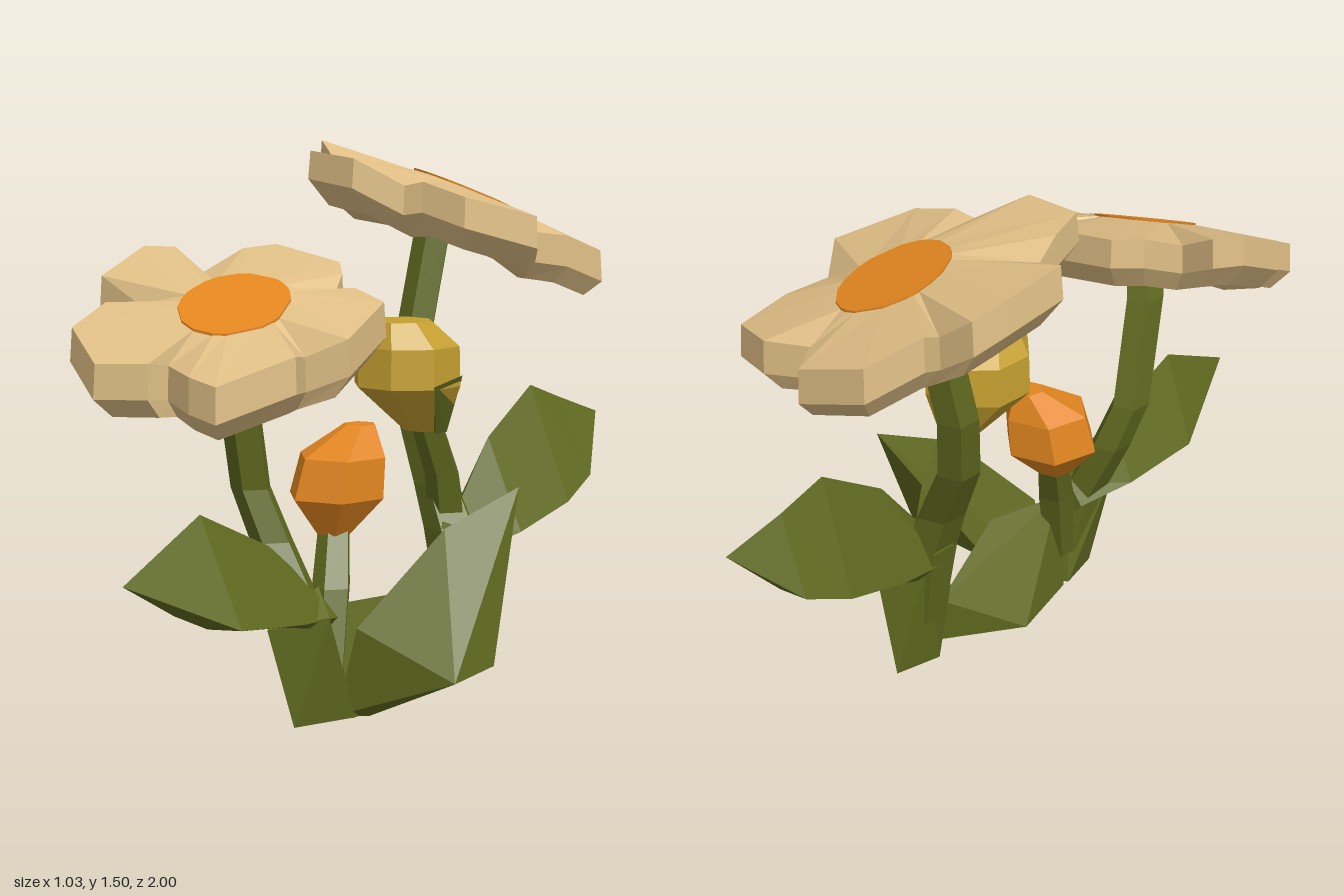
import * as THREE from 'three';
import { ConvexGeometry } from 'three/addons/geometries/ConvexGeometry.js';

const material = (name, color) => {
  const m = new THREE.MeshStandardMaterial({ color });
  m.name = name;
  return m;
};

// Faceted skin over rings of [x, y, z] points, closed at both ends.
function loft(rings) {
  const pos = [];
  const tri = (a, b, c) => pos.push(...a, ...b, ...c);
  const middle = (ring) => [0, 1, 2].map((k) => ring.reduce((s, p) => s + p[k], 0) / ring.length);
  const n = rings[0].length, first = rings[0], last = rings[rings.length - 1];
  const c0 = middle(first), c1 = middle(last);
  for (let i = 0; i < n; i++) {
    const j = (i + 1) % n;
    tri(c0, first[j], first[i]);
    tri(c1, last[i], last[j]);
    for (let r = 0; r < rings.length - 1; r++) {
      const a = rings[r], b = rings[r + 1];
      tri(a[i], a[j], b[j]);
      tri(a[i], b[j], b[i]);
    }
  }
  const g = new THREE.BufferGeometry();
  g.setAttribute('position', new THREE.Float32BufferAttribute(pos, 3));
  g.computeVertexNormals();
  return g;
}

// Upright limb or bud through [x, y, z, radius] stations.
function limb(stations, sides = 5, turn = 0) {
  return loft(stations.map(([x, y, z, r]) => Array.from({ length: sides }, (_, i) => {
    const a = (i / sides) * Math.PI * 2 + turn;
    return [x + r * Math.cos(a), y, z - r * Math.sin(a)];
  })));
}

// Thick leaf along z through [z, top, side, bottom, halfWidth] stations.
function leaf(stations, x = 0.12) {
  const rings = stations.map(([z, top, side, bottom, w]) =>
    [[x + w, side, z], [x - w * 0.2, top, z], [x - w, side, z], [x, bottom, z]]);
  if (stations[0][0] < 0) rings.reverse();
  return loft(rings);
}

const hull = (points) => new ConvexGeometry(points.map((p) => new THREE.Vector3(...p)));

export function createModel() {
  const green = material('leaf green', 0x616b20);
  const tan = material('petal tan', 0xdfbe85);
  const orange = material('orange', 0xe28620);
  const yellow = material('bud yellow', 0xc6a030);

  const group = new THREE.Group();
  const add = (name, geometry, mat, parent = group) => {
    const mesh = new THREE.Mesh(geometry, mat);
    mesh.name = name;
    parent.add(mesh);
  };

  // Five-petalled flower on a sloping plane; outline is [x, z, droop].
  function flower(name, [cx, cy, cz], slopeX, slopeZ, outline) {
    const g = new THREE.Group();
    g.name = name;
    group.add(g);
    const point = (x, z, h) => [x, cy + slopeX * (x - cx) + slopeZ * (z - cz) + h, z];
    const scaled = (f, h, droop) => outline.map(([x, z, d = 0]) =>
      point(cx + (x - cx) * f, cz + (z - cz) * f, h - d * droop));
    const hub = (r, h) => outline.map(([x, z]) => {
      const l = Math.hypot(x - cx, z - cz);
      return point(cx + ((x - cx) * r) / l, cz + ((z - cz) * r) / l, h);
    });
    add('petals', loft([hub(0.14, 0), scaled(0.985, 0, 1), scaled(1, -0.09, 0.9),
      scaled(0.87, -0.155, 0.7), hub(0.09, -0.16)]), tan, g);
    add('flowerCentre', loft([hub(0.144, 0.005), hub(0.144, -0.004)]), orange, g);
  }

  flower('frontFlower', [0.06, 1.12, 0.54], -0.21, -0.38, [
    [-0.19, 0.24, 0.05], [-0.14, 0.16, 0.06], [0.09, 0.16, 0.05], [0.15, 0.22, 0.04], [0.18, 0.29, 0.06],
    [0.24, 0.27, 0.03], [0.36, 0.3, 0.02], [0.42, 0.51], [0.32, 0.56, 0.05],
    [0.36, 0.64], [0.27, 0.83, 0.01], [0.17, 0.82, 0.02], [0.05, 0.77, 0.05],
    [0.04, 0.83, 0.02], [-0.09, 0.89, 0.03], [-0.27, 0.8, 0.03], [-0.27, 0.68, 0.02], [-0.23, 0.6, 0.05],
    [-0.38, 0.59, 0.02], [-0.38, 0.43, 0.01], [-0.33, 0.36, 0.03], [-0.21, 0.38, 0.06],
  ]);
  flower('backFlower', [-0.06, 1.365, -0.56], -0.25, 0.32, [
    [-0.3, -0.89], [-0.09, -0.91, 0.01], [-0.03, -0.82, 0.02], [0.01, -0.78, 0.05],
    [0.13, -0.83, 0.01], [0.29, -0.77, 0.02], [0.26, -0.64, 0.02], [0.23, -0.52, 0.05],
    [0.31, -0.42, 0.01], [0.2, -0.23, 0.04], [0.06, -0.22, 0.04], [0.0, -0.21, 0.07],
    [-0.12, -0.13, 0.05], [-0.31, -0.16, 0.07], [-0.34, -0.27, 0.06], [-0.36, -0.35, 0.08],
    [-0.52, -0.45, 0.01], [-0.49, -0.6], [-0.46, -0.69], [-0.35, -0.69, 0.05], [-0.37, -0.76],
  ]);

  // Stems
  add('frontStem', limb([
    [0.14, 0.1, 0.32, 0.05], [0.13, 0.27, 0.35, 0.07], [0.02, 0.48, 0.36, 0.06],
    [-0.025, 0.62, 0.39, 0.056], [-0.005, 0.93, 0.465, 0.056], [0.02, 1.03, 0.49, 0.055],
  ]), green);
  add('backStem', limb([
    [0.14, 0.15, -0.3, 0.06], [0.1, 0.42, -0.31, 0.08], [0.04, 0.54, -0.32, 0.068],
    [-0.08, 0.74, -0.37, 0.06], [-0.12, 0.93, -0.41, 0.058], [-0.1, 1.27, -0.48, 0.057],
  ]), green);
  add('orangeBudStem', limb([[0.14, 0.1, 0.27, 0.045], [0.1, 0.34, 0.21, 0.055], [0.05, 0.5, 0.14, 0.045]]), green);
  add('yellowBudStem', limb([[0.08, 0.42, -0.32, 0.06], [0.1, 0.58, -0.27, 0.052], [0.1, 0.75, -0.19, 0.048]]), green);

  // Buds, with a green sepal on one side of the yellow one
  add('orangeBud', limb([
    [0.05, 0.47, 0.15, 0.05], [0.045, 0.57, 0.13, 0.138], [0.055, 0.68, 0.115, 0.125], [0.07, 0.76, 0.06, 0.045],
  ], 6, 0.3), orange);
  add('yellowBud', limb([
    [0.1, 0.72, -0.18, 0.06], [0.08, 0.85, -0.13, 0.153], [0.08, 0.96, -0.13, 0.15], [0.08, 1.03, -0.1, 0.09],
  ], 8, Math.PI / 8), yellow);
  add('sepal', hull([
    [0.162, 0.715, -0.155], [0.162, 0.715, -0.205], [0.227, 0.86, -0.068], [0.227, 0.88, -0.19],
    [0.195, 0.86, -0.227], [0.1, 0.8, -0.15],
  ]), green);

  // Long leaves and the wedge-footed stalks that carry them
  add('frontLeaf', leaf([
    [0.28, 0.34, 0.28, 0.22, 0.06], [0.46, 0.49, 0.3, 0.275, 0.1],
    [0.71, 0.61, 0.335, 0.32, 0.118], [1, 0.48, 0.48, 0.48, 0],
  ]), green);
  add('backLeaf', leaf([
    [-0.31, 0.45, 0.36, 0.28, 0.07], [-0.48, 0.66, 0.395, 0.375, 0.1],
    [-0.69, 0.79, 0.455, 0.44, 0.118], [-0.83, 0.74, 0.515, 0.5, 0.1], [-1, 0.68, 0.68, 0.68, 0],
  ]), green);
  add('frontLeafStalk', hull([
    [0.14, 0, 0.41], [0.1, 0, 0.27], [0.2, 0, 0.23],
    [0.07, 0.28, 0.4], [0.22, 0.3, 0.36], [0.12, 0.275, 0.49], [0.13, 0.36, 0.3],
  ]), green);
  add('backLeafStalk', hull([
    [0.14, 0, -0.41], [0.11, 0, -0.27], [0.19, 0, -0.22], [0.13, 0.2, -0.2],
    [0.06, 0.4, -0.35], [0.2, 0.4, -0.36], [0.12, 0.37, -0.49], [0.12, 0.45, -0.24],
  ]), green);

  // Side leaf and the low clump joining both plants
  add('sideLeaf', hull([
    [0.15, 0, 0.25], [0.22, 0, 0.2], [0.22, 0.25, 0.25], [0.51, 0.14, 0.2], [0.5, 0.15, 0.02],
    [0.415, 0.59, -0.2], [0.34, 0.5, 0.03], [0.24, 0.12, 0.06],
  ]), green);
  add('clump', hull([
    [0.185, 0, -0.23], [0.03, 0, 0.01], [0.1, 0, 0.25], [0.2, 0, 0.24],
    [0.15, 0.15, -0.22], [0.18, 0.3, 0.02], [0.13, 0.3, 0.25],
  ]), green);

  return group;
}
